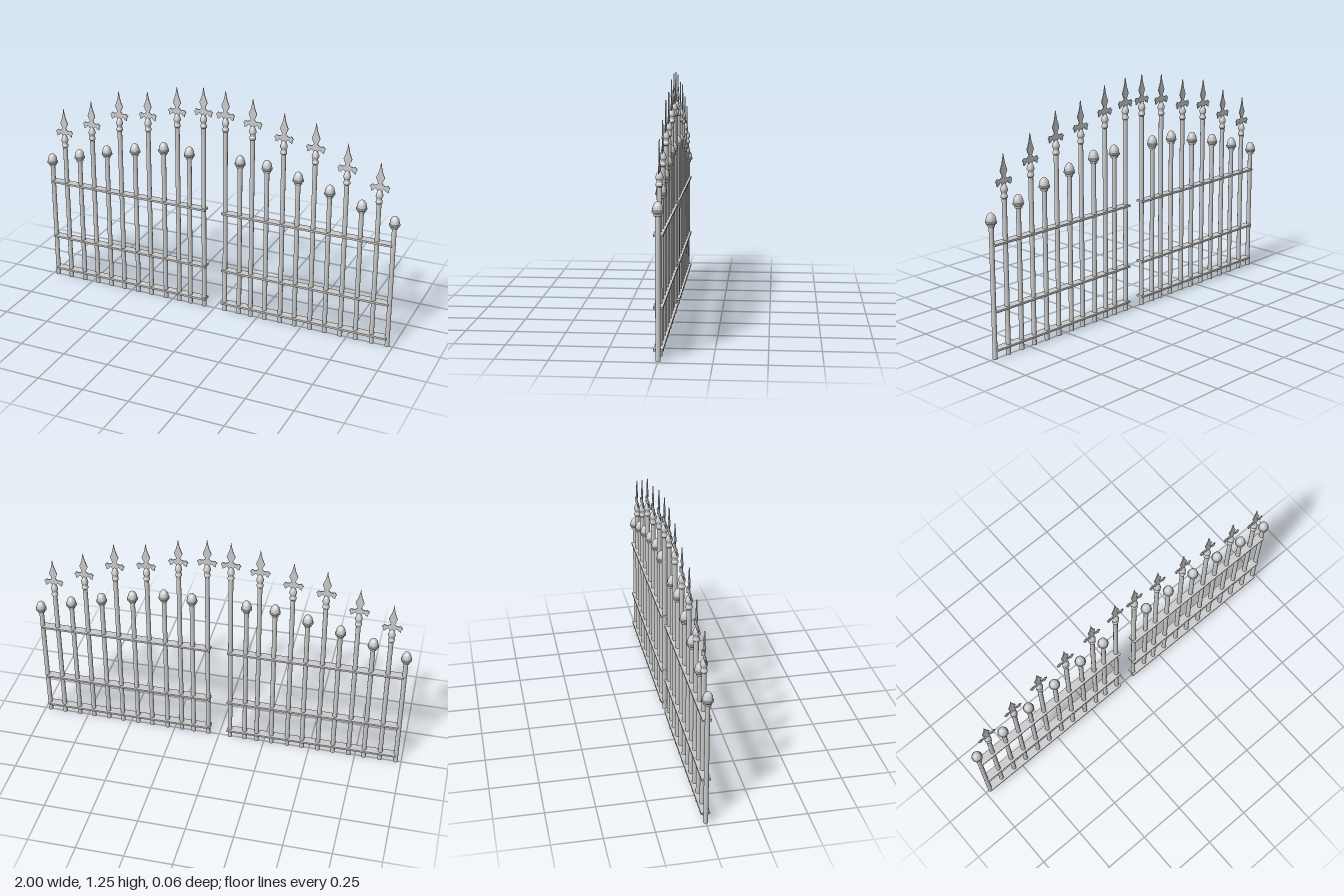
import * as THREE from 'three';
import { toCreasedNormals } from 'three/addons/utils/BufferGeometryUtils.js';

const material = new THREE.MeshStandardMaterial({ color: 0xcccccc, side: THREE.DoubleSide });
const POST_R = 0.0122;

// [x, height of the very top] for one gate leaf
const SPEARS = [[0.061, 1.25], [0.21, 1.23], [0.379, 1.18], [0.547, 1.155], [0.715, 1.075], [0.885, 1.005]];
const KNOBS = [[0.143, 0.915], [0.291, 0.915], [0.46, 0.88], [0.629, 0.84], [0.798, 0.79], [0.97, 0.735]];
const RAILS = [0.048, 0.245, 0.577];

function part(name, geometry, x, y) {
  const mesh = new THREE.Mesh(geometry, material);
  mesh.name = name;
  mesh.position.set(x, y, 0);
  return mesh;
}

function turned(profile) {
  const points = profile.map(([r, y]) => new THREE.Vector2(r, y));
  return toCreasedNormals(new THREE.LatheGeometry(points, 16), 0.7);
}

// Flat spearhead: a leaf blade over two drooping side barbs, tip at y = 0
function spearGeometry() {
  const half = [
    [0.004, -0.025], [0.010, -0.05], [0.022, -0.081], [0.016, -0.095], [0.009, -0.110],
    [0.018, -0.119], [0.030, -0.122], [0.040, -0.117], [0.052, -0.131], [0.046, -0.137],
    [0.043, -0.155], [0.031, -0.149], [0.023, -0.138], [0.013, -0.146], [0.008, -0.165],
  ];
  const outline = [[0, 0], ...half, ...half.map(([x, y]) => [-x, y]).reverse()];
  const shape = new THREE.Shape(outline.map(([x, y]) => new THREE.Vector2(x, y)));
  const geometry = new THREE.ExtrudeGeometry(shape, { depth: 0.005, bevelEnabled: false });
  return geometry.translate(0, 0, -0.0025);
}

export function createModel() {
  const model = new THREE.Group();
  model.name = 'doubleGate';

  const spear = spearGeometry();
  // Turned neck beneath each spearhead, measured down from the tip
  const neck = turned([
    [POST_R, -0.218], [0.017, -0.213], [0.017, -0.203], [0.0135, -0.198], [0.0135, -0.186],
    [0.0185, -0.18], [0.0185, -0.172], [0.015, -0.16], [0.009, -0.148], [0, -0.14],
  ]);
  // Acorn finial, measured down from its top
  const acorn = turned([
    [POST_R, -0.069], [0.0185, -0.067], [0.0195, -0.058], [0.028, -0.05], [0.0285, -0.043],
    [0.025, -0.04], [0.0245, -0.03], [0.021, -0.017], [0.014, -0.006], [0.007, -0.001], [0, 0],
  ]);
  const rail = new THREE.BoxGeometry(0.921, 0.01, 0.045);

  for (const side of [-1, 1]) {
    const leaf = new THREE.Group();
    leaf.name = side > 0 ? 'leftLeaf' : 'rightLeaf';

    const addPost = (name, x, height) => leaf.add(part(
      name, new THREE.CylinderGeometry(POST_R, POST_R, height, 12), side * x, height / 2));

    for (const [x, top] of SPEARS) {
      addPost('tallPost', x, top - 0.21);
      leaf.add(part('spearNeck', neck, side * x, top));
      leaf.add(part('spearhead', spear, side * x, top));
    }
    for (const [x, top] of KNOBS) {
      addPost('shortPost', x, top - 0.06);
      leaf.add(part('acornFinial', acorn, side * x, top));
    }
    for (const y of RAILS) leaf.add(part('rail', rail, side * 0.507, y));

    model.add(leaf);
  }
  return model;
}
